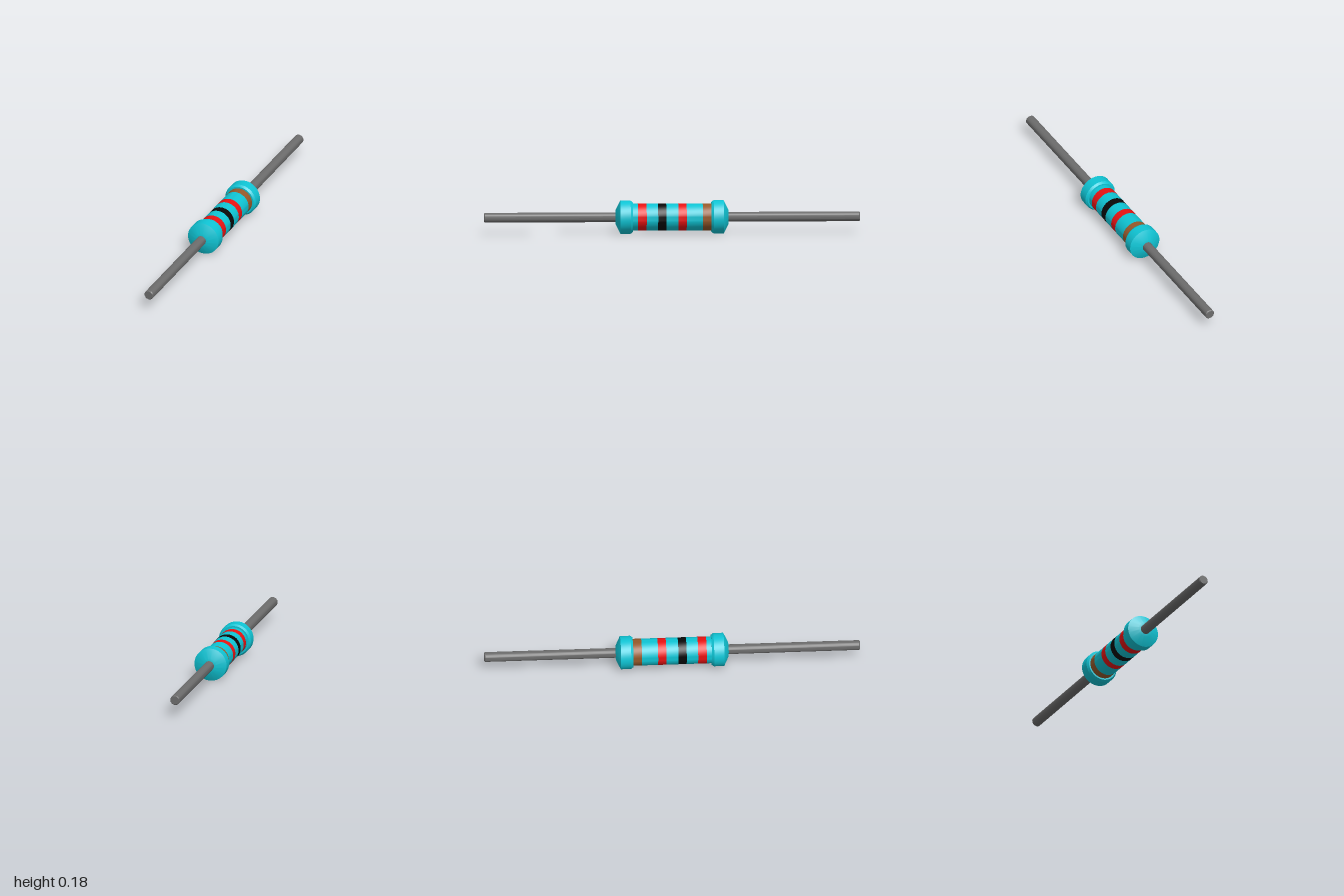
import * as THREE from 'three';
import { toCreasedNormals } from 'three/addons/utils/BufferGeometryUtils.js';

const AXIS_Y = 0.0885;
const BODY_R = 0.0715;

const paint = (color) => new THREE.MeshStandardMaterial({ color });

// Turns a [radius, z] profile (z increasing) around the z axis.
function turned(name, profile, material) {
  const points = profile.map(([r, z]) => new THREE.Vector2(r, z));
  const geometry = new THREE.LatheGeometry(points, 48).rotateX(Math.PI / 2);
  const mesh = new THREE.Mesh(toCreasedNormals(geometry, Math.PI / 6), material);
  mesh.name = name;
  mesh.position.y = AXIS_Y;
  return mesh;
}

// Same profile on the other end of the axis.
const mirrored = (profile) => profile.map(([r, z]) => [r, -z]).reverse();

export function createModel() {
  const group = new THREE.Group();
  group.name = 'resistor';

  const coat = paint(0x0fc4d4);
  const metal = paint(0x6c6c6c);
  const red = paint(0xe81212);
  const black = paint(0x080808);
  const brown = paint(0x95592b);

  // Painted body: sections along z, from back to front
  const sections = [
    ['body', -0.24, -0.209, coat],
    ['brownBand', -0.209, -0.163, brown],
    ['body', -0.163, -0.077, coat],
    ['backRedBand', -0.077, -0.033, red],
    ['body', -0.033, 0.031, coat],
    ['blackBand', 0.031, 0.075, black],
    ['body', 0.075, 0.136, coat],
    ['frontRedBand', 0.136, 0.182, red],
    ['body', 0.182, 0.24, coat],
  ];
  for (const [name, z0, z1, material] of sections) {
    group.add(turned(name, [[BODY_R, z0], [BODY_R, z1]], material));
  }

  // End caps: chamfered inside, shallow cone outside
  const cap = [
    [BODY_R - 0.002, 0.209], [0.08, 0.209], [0.0885, 0.221],
    [0.0885, 0.275], [0.04, 0.299], [0.024, 0.301],
  ];
  group.add(turned('frontCap', cap, coat), turned('backCap', mirrored(cap), coat));

  // Wire leads with slightly bevelled tips
  const lead = [[0.026, 0.28], [0.026, 0.995], [0.022, 1], [0, 1]];
  group.add(turned('frontLead', lead, metal), turned('backLead', mirrored(lead), metal));

  return group;
}
